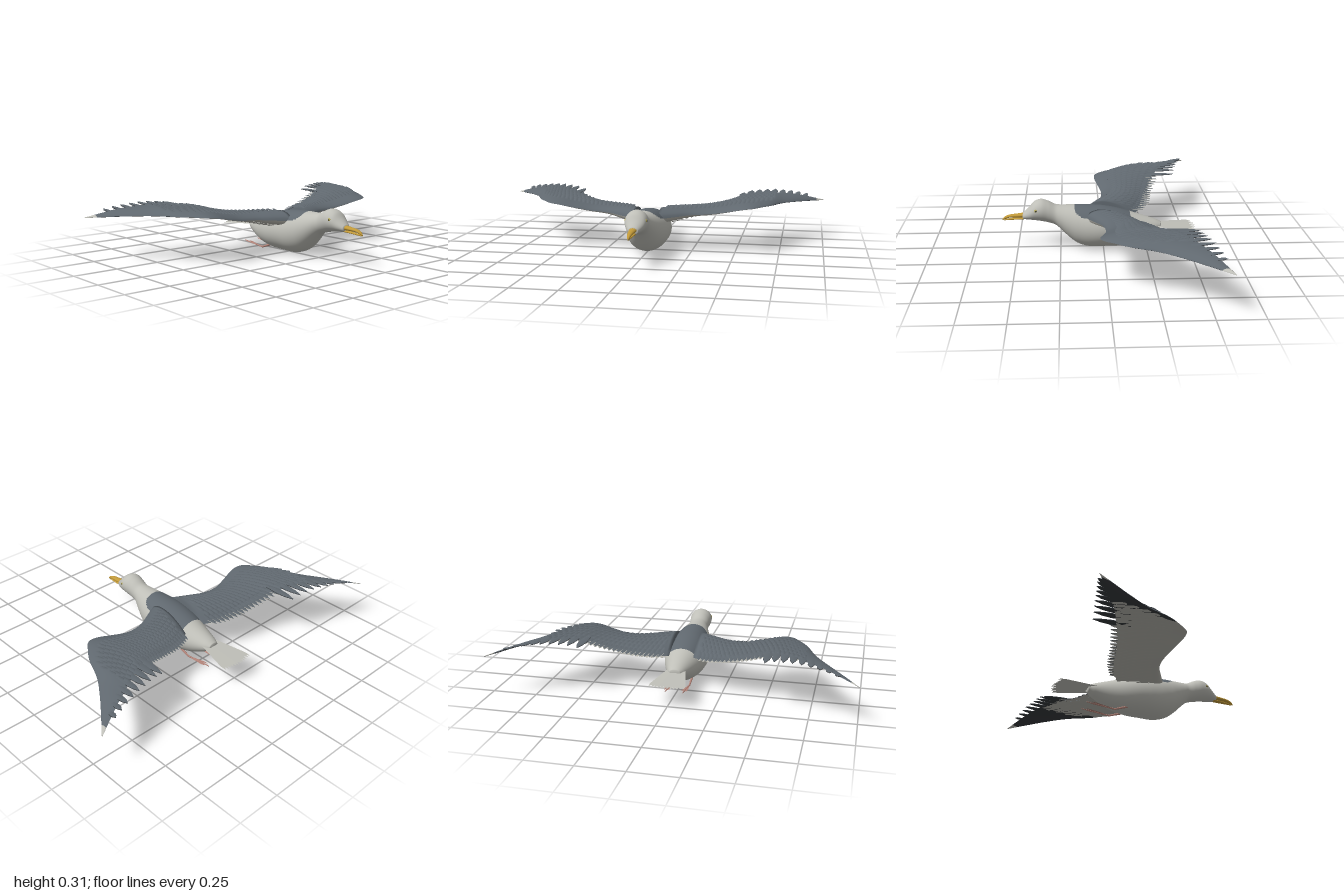
import * as THREE from 'three';
import { mergeVertices } from 'three/addons/utils/BufferGeometryUtils.js';

const mat = (name, color) =>
  Object.assign(new THREE.MeshStandardMaterial({ color, side: THREE.DoubleSide }), { name });
const V = (x, y, z) => new THREE.Vector3(x, y, z);
const lerp = THREE.MathUtils.lerp;

// Smooth interpolation of table rows, keyed by an ascending first column
function sample(table, k) {
  let i = 0;
  while (i < table.length - 2 && k > table[i + 1][0]) i++;
  const a = table[i], b = table[i + 1], p = table[Math.max(i - 1, 0)];
  const n = table[Math.min(i + 2, table.length - 1)], d = b[0] - a[0];
  const u = THREE.MathUtils.clamp((k - a[0]) / d, 0, 1), u2 = u * u, u3 = u2 * u;
  return a.map((v, c) => {
    const m0 = (b[c] - p[c]) / (b[0] - p[0]) * d, m1 = (n[c] - v) / (n[0] - a[0]) * d;
    return (2 * u3 - 3 * u2 + 1) * v + (u3 - 2 * u2 + u) * m0 + (3 * u2 - 2 * u3) * b[c] + (u3 - u2) * m1;
  });
}

// Triangle list of points to a smooth mesh
function solid(name, tris, material) {
  const g = new THREE.BufferGeometry().setFromPoints(tris);
  const merged = mergeVertices(g, 1e-5);
  merged.computeVertexNormals();
  const m = new THREE.Mesh(merged, material);
  m.name = name;
  return m;
}

function mirrored(mesh) {
  const g = mesh.geometry.clone().scale(-1, 1, 1), ix = g.index.array;
  for (let i = 0; i < ix.length; i += 3) [ix[i], ix[i + 1]] = [ix[i + 1], ix[i]];
  const m = new THREE.Mesh(g, mesh.material);
  m.name = mesh.name.replace('left', 'right');
  return m;
}

// Elliptical loft along z from [z, top, bottom, halfWidth]; pick() sorts the quads into lists
function loft(table, steps, sides, pick) {
  const z0 = table[0][0], z1 = table[table.length - 1][0];
  const at = (i, j) => {
    const [z, top, bottom, w] = sample(table, lerp(z0, z1, i / steps));
    const a = (j % sides) / sides * Math.PI * 2;
    return V(w * Math.cos(a), (top + bottom) / 2 + (top - bottom) / 2 * Math.sin(a), z);
  };
  const mid = i => at(i, 0).setX(0);
  for (let j = 0; j < sides; j++) {
    for (let i = 0; i < steps; i++) {
      const a = at(i, j), b = at(i, j + 1), c = at(i + 1, j + 1), d = at(i + 1, j);
      pick(lerp(z0, z1, (i + 0.5) / steps), Math.sin((j + 0.5) / sides * Math.PI * 2)).push(a, b, c, a, c, d);
    }
    pick(z0, -1).push(mid(0), at(0, j + 1), at(0, j));
    pick(z1, -1).push(mid(steps), at(steps, j), at(steps, j + 1));
  }
}

// Thin leaf-shaped plate from base to tip, with a raised spine
function feather(out, base, tip, width, up, shoulder = 0.6, ridge = 0) {
  const side = tip.clone().sub(base).cross(up).normalize();
  const s2 = (1 + shoulder) / 2;
  const row = (u, w) => [-w, 0, w].map(k => base.clone().lerp(tip, u)
    .addScaledVector(side, k * width).addScaledVector(up, k ? 0 : ridge * width));
  const rows = [row(0, 0.38), row(shoulder, 0.5), row(s2, 0.36)];
  for (let k = 0; k < 2; k++) {
    for (let i = 0; i < 2; i++) {
      const [a, b, c, d] = [rows[i][k], rows[i][k + 1], rows[i + 1][k + 1], rows[i + 1][k]];
      out.push(a, b, c, a, c, d);
    }
    out.push(rows[2][k], rows[2][k + 1], tip.clone());
  }
}

// Wing stations: x, front z, back z, front y, back y, camber, thickness
const WING = [
  [0.07, 0.105, -0.18, 0.2, 0.172, 0.02, 0.088], [0.16, 0.055, -0.23, 0.207, 0.18, 0.021, 0.07],
  [0.25, 0.01, -0.26, 0.214, 0.195, 0.021, 0.048], [0.35, 0, -0.28, 0.22, 0.216, 0.022, 0.034],
  [0.45, 0.02, -0.31, 0.238, 0.248, 0.02, 0.026], [0.54, 0.038, -0.35, 0.257, 0.285, 0.018, 0.02],
  [0.6, 0.026, -0.375, 0.264, 0.294, 0.011, 0.02], [0.65, -0.035, -0.4, 0.266, 0.298, 0.009, 0.018],
  [0.7, -0.112, -0.43, 0.265, 0.298, 0.008, 0.016], [0.754, -0.24, -0.46, 0.261, 0.293, 0.006, 0.014],
  [0.834, -0.364, -0.5, 0.254, 0.282, 0.005, 0.012], [0.92, -0.48, -0.545, 0.245, 0.26, 0.003, 0.01],
  [1, -0.584, -0.588, 0.236, 0.238, 0, 0.004],
];
function wingPoint(x, t, side, lift = 0) {
  const [, zf, zb, yf, yb, camber, thick] = sample(WING, x);
  const half = thick / 2 * 2.6 * Math.sqrt(t) * (1 - t);
  return V(x, lerp(yf, yb, t) + camber * 4 * t * (1 - t) + side * (half + lift), lerp(zf, zb, t));
}

export function createModel() {
  const white = mat('plumage white', 0xbfbfb8), grey = mat('slate grey', 0x60686f);
  const under = mat('underwing pale grey', 0xb4b3ab), dark = mat('primary black', 0x35383b);
  const yellow = mat('beak yellow', 0xc29a3a), pink = mat('leg pink', 0xb5857a);
  const black = mat('pupil black', 0x1c1c1c), iris = mat('iris yellow', 0xb3a75a);
  const model = new THREE.Group();

  // Body and head with the slate mantle on the back
  const body = [], mantle = [];
  loft([
    [-0.335, 0.15, 0.115, 0.03], [-0.3, 0.165, 0.086, 0.05], [-0.2, 0.197, 0.036, 0.086],
    [-0.1, 0.228, 0.014, 0.115], [0, 0.248, 0.01, 0.125], [0.08, 0.255, 0.009, 0.12],
    [0.15, 0.258, 0.03, 0.105], [0.2, 0.258, 0.068, 0.088], [0.25, 0.259, 0.118, 0.068],
    [0.28, 0.264, 0.143, 0.058], [0.32, 0.284, 0.157, 0.06], [0.36, 0.295, 0.166, 0.064],
    [0.4, 0.281, 0.172, 0.059], [0.43, 0.248, 0.175, 0.047], [0.467, 0.214, 0.178, 0.026],
  ], 160, 80, (z, s) => {
    const edge = 0.6 + Math.max(0, z - 0.12) ** 2 * 110;
    return z > -0.155 && z < 0.168 && s > edge ? mantle : body;
  });
  model.add(solid('body', body, white), solid('mantle', mantle, grey));

  // Beak
  const upper = [], lower = [];
  loft([[0.45, 0.216, 0.188, 0.022], [0.5, 0.209, 0.188, 0.018], [0.54, 0.204, 0.187, 0.014],
    [0.57, 0.194, 0.178, 0.009], [0.585, 0.18, 0.17, 0.003]], 14, 16, () => upper);
  loft([[0.45, 0.189, 0.177, 0.018], [0.52, 0.184, 0.173, 0.012], [0.575, 0.177, 0.169, 0.003]], 10, 16, () => lower);
  model.add(solid('upperBeak', upper, yellow), solid('lowerBeak', lower, yellow));

  // Eyes
  for (const s of [1, -1]) {
    [[0.01, 0.056, iris, 'iris'], [0.0045, 0.0602, black, 'pupil']].forEach(([r, x, m, name]) => {
      const eye = new THREE.Mesh(new THREE.SphereGeometry(r, 16, 10), m);
      eye.scale.x = 0.6;
      eye.position.set(s * x, 0.241, 0.389);
      eye.name = name;
      model.add(eye);
    });
  }

  // Wing skin: slate above, pale then black below, white at the tip
  const top = [], pale = [], outer = [], tip = [];
  const NX = 62, NT = 16;
  for (let i = 0; i < NX; i++) for (let j = 0; j < NT; j++) for (const s of [1, -1]) {
    const p = (a, b) => wingPoint(0.07 + 0.93 * a / NX, (b / NT) ** 1.5, s);
    const [a, b, c, d] = [p(i, j), p(i + 1, j), p(i + 1, j + 1), p(i, j + 1)];
    const list = a.x > 0.95 ? tip : s > 0 ? top : a.x > 0.66 ? outer : pale;
    list.push(...(s > 0 ? [a, b, c, a, c, d] : [a, c, b, a, d, c]));
    if (i === 0 && s > 0) {
      const e = wingPoint(0.07, (j / NT) ** 1.5, -1), f = wingPoint(0.07, ((j + 1) / NT) ** 1.5, -1);
      top.push(a, d, f, a, f, e);
    }
  }

  // Overlapping covert rows above and below
  const coverts = [], underCoverts = [];
  const ROWS = 7, COLS = 24;
  for (const s of [1, -1]) for (let r = 0; r < ROWS; r++) for (let c = 0; c < COLS; c++) {
    const x = 0.105 + (c + (r % 2) / 2) * 0.0255;
    const t = 0.2 + r * 0.105;
    feather(s > 0 ? coverts : underCoverts, wingPoint(x, t, s, -0.001),
      wingPoint(x + 0.004, Math.min(t + 0.17, 1), s, 0.011), 0.025, V(0, s, 0), 0.65, 0.18);
  }

  // Trailing feathers, each with an upper and a lower face
  const flight = [], flightPale = [], flightDark = [];
  const trailing = (x, tipX, tipZ, width, below) => {
    const base = wingPoint(x, 0.78, 0), end = wingPoint(x, 1, 0);
    end.set(tipX, end.y + 0.008, tipZ);
    for (const s of [1, -1]) {
      const off = V(0, s * 0.002, 0);
      feather(s > 0 ? flight : below, base.clone().add(off), end.clone().add(off), width, V(0, s, 0), 0.5, 0.1);
    }
  };
  for (let i = 0; i < 17; i++) {
    const x = 0.11 + i * 0.024;
    trailing(x, x + 0.004, sample(WING, x)[2] - 0.042, 0.028, flightPale);
  }
  for (let i = 0; i < 9; i++) {
    const x = 0.515 + i * 0.046;
    trailing(x, x - 0.003 + i * 0.002, lerp(-0.47, -0.563, i / 8), 0.046 - i * 0.002, flightDark);
  }

  // Legs trailing back under the body
  const foot = [];
  const ankle = V(0.05, 0.007, -0.185);
  for (const dx of [-0.012, 0, 0.012])
    feather(foot, ankle, V(0.05 + dx, 0.026, -0.35 + Math.abs(dx) * 2), 0.012, V(0, 1, 0), 0.8);
  const rod = (name, a, b, r0, r1) => {
    const d = b.clone().sub(a), g = new THREE.CylinderGeometry(r1, r0, d.length(), 8);
    g.applyQuaternion(new THREE.Quaternion().setFromUnitVectors(V(0, 1, 0), d.normalize()));
    g.translate((a.x + b.x) / 2, (a.y + b.y) / 2, (a.z + b.z) / 2);
    const m = new THREE.Mesh(g, pink);
    m.name = name;
    return m;
  };

  const left = [
    solid('leftWingTop', top, grey), solid('leftWingUnderside', pale, under),
    solid('leftOuterUnderside', outer, dark), solid('leftWingTip', tip, white),
    solid('leftCoverts', coverts, grey), solid('leftUnderCoverts', underCoverts, under),
    solid('leftFlightFeathers', flight, grey), solid('leftSecondariesBelow', flightPale, under),
    solid('leftPrimariesBelow', flightDark, dark), solid('leftFoot', foot, pink),
    rod('leftShin', V(0.05, 0.033, -0.11), ankle, 0.007, 0.005),
    rod('leftToe', ankle, V(0.05, 0.026, -0.35), 0.005, 0.0025),
  ];
  left.forEach(m => model.add(m, mirrored(m)));

  // Fanned tail
  const tail = [];
  for (let i = 0; i < 12; i++) {
    const u = (i - 5.5) / 5.5;
    feather(tail, V(u * 0.035, 0.136 + (i % 2) * 0.001, -0.26),
      V(u * 0.095, 0.12 + (i % 2) * 0.001, -0.54 + 0.018 * u * u), 0.021, V(0, 1, 0), 0.85);
  }
  model.add(solid('tail', tail, white));
  return model;
}
